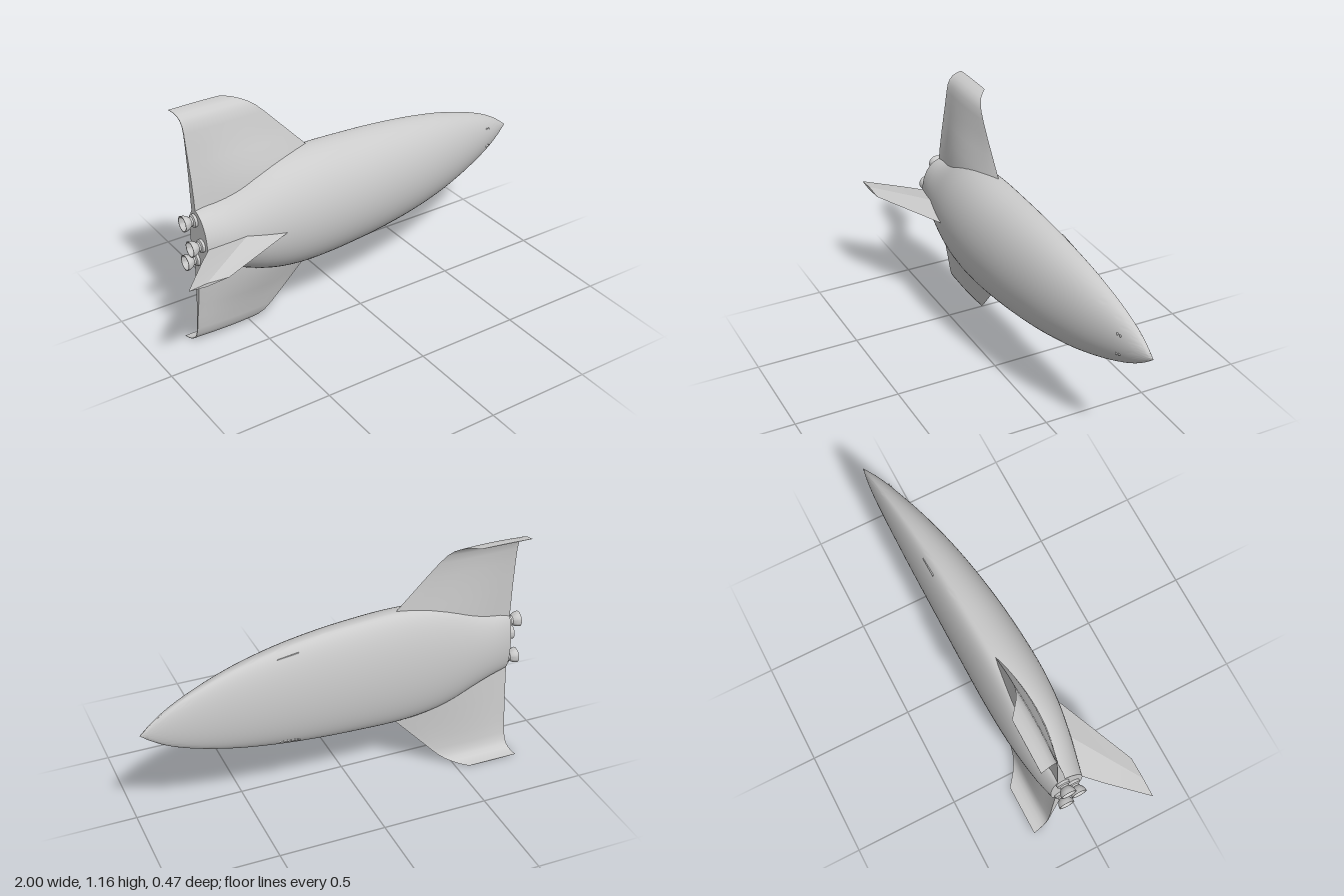
import * as THREE from 'three';
import { toCreasedNormals } from 'three/addons/utils/BufferGeometryUtils.js';

const CY = 0.578; // height of the ship's axis
const grey = new THREE.MeshStandardMaterial({ color: 0xcccccc });
const greyDouble = new THREE.MeshStandardMaterial({ color: 0xcccccc, side: THREE.DoubleSide });

// Closed solid from rings of [x, y, z] points, wound to face outward
function loft(rings, crease) {
  const n = rings[0].length, pos = [], idx = [];
  rings.forEach(r => r.forEach(p => pos.push(...p)));
  for (let i = 0; i < rings.length - 1; i++) {
    for (let j = 0; j < n; j++) {
      const k = (j + 1) % n, a = i * n + j, b = i * n + k;
      idx.push(a, b, a + n, b, b + n, a + n);
    }
  }
  // End caps, fanned from the middle of each end ring
  [rings[0], rings[rings.length - 1]].forEach((r, e) => {
    const c = pos.length / 3, base = e ? (rings.length - 1) * n : 0;
    pos.push(...[0, 1, 2].map(d => r.reduce((s, p) => s + p[d], 0) / n));
    for (let j = 0; j < n; j++) {
      const a = base + j, b = base + (j + 1) % n;
      if (e) idx.push(c, a, b); else idx.push(c, b, a);
    }
  });
  // Flip every face if the enclosed volume comes out negative
  const v = i => new THREE.Vector3().fromArray(pos, i * 3);
  let volume = 0;
  for (let i = 0; i < idx.length; i += 3) volume += v(idx[i]).dot(v(idx[i + 1]).cross(v(idx[i + 2])));
  if (volume < 0) idx.reverse();
  const g = new THREE.BufferGeometry();
  g.setAttribute('position', new THREE.Float32BufferAttribute(pos, 3));
  g.setIndex(idx);
  return toCreasedNormals(g, crease);
}

function add(parent, name, geometry, material = grey) {
  const mesh = new THREE.Mesh(geometry, material);
  mesh.name = name;
  parent.add(mesh);
  return mesh;
}

// Hull stations: x, half width, back z, belly z
const hull = [
  [-0.785, 0.15, 0.0, -0.155], [-0.7, 0.165, 0.02, -0.178], [-0.6, 0.2, 0.042, -0.194],
  [-0.5, 0.242, 0.06, -0.205], [-0.4, 0.27, 0.071, -0.212], [-0.25, 0.287, 0.076, -0.218],
  [0, 0.28, 0.062, -0.221], [0.2, 0.264, 0.037, -0.222], [0.4, 0.236, 0.001, -0.223],
  [0.6, 0.192, -0.05, -0.223], [0.8, 0.124, -0.116, -0.221], [0.9, 0.075, -0.154, -0.217],
  [0.96, 0.034, -0.182, -0.211], [1, 0.001, -0.203, -0.205],
];
const hullSpline = new THREE.CubicInterpolant(hull.map(s => s[0]), hull.flatMap(s => s.slice(1)), 3);

// Point on the hull: ellipse above the widest line, flatter ellipse below
function hullPoint(x, angle) {
  const [w, top, belly] = hullSpline.evaluate(x);
  const mid = belly + 0.3 * (top - belly), s = Math.sin(angle);
  return [x, CY + w * Math.cos(angle), mid + s * (s > 0 ? top - mid : mid - belly)];
}

function hullGeometry() {
  const rings = [];
  for (let i = 0; i <= 60; i++) {
    const x = -0.785 + 1.785 * Math.sin((i / 60) * Math.PI / 2);
    rings.push(Array.from({ length: 56 }, (_, j) => hullPoint(Math.min(x, 1), (j / 56) * Math.PI * 2)));
  }
  return loft(rings, 0.7);
}

// Foil outline: upper side from nose to tail, then lower side back again
function foil(count, thickness, place) {
  const ring = [];
  for (let i = 0; i <= count; i++) ring.push(place(i / count, thickness(i / count)));
  for (let i = count; i >= 1; i--) ring.push(place(i / count, -thickness(i / count)));
  return ring;
}

// Wing stations: distance from axis, z, upper and lower thickness, leading x, trailing x, tilt
const wingStations = [
  [0.1, -0.11, 0.06, 0.045, -0.08, -0.785, 0], [0.2, -0.118, 0.058, 0.036, -0.14, -0.785, 0],
  [0.29, -0.126, 0.046, 0.025, -0.21, -0.785, 0], [0.36, -0.132, 0.03, 0.018, -0.275, -0.786, 0],
  [0.43, -0.138, 0.015, 0.012, -0.34, -0.787, 0], [0.495, -0.146, 0.009, 0.007, -0.4, -0.788, 0.1],
  [0.53, -0.153, 0.007, 0.005, -0.435, -0.79, 0.3], [0.552, -0.165, 0.005, 0.004, -0.465, -0.793, 0.7],
  [0.566, -0.182, 0.004, 0.003, -0.495, -0.797, 1.05], [0.574, -0.205, 0.003, 0.002, -0.525, -0.802, 1.3],
  [0.576, -0.233, 0.002, 0.001, -0.56, -0.808, 1.45],
];
function wingGeometry(side) {
  const shape = u => Math.max(Math.sin(Math.PI * u) ** 0.8, u > 0.9 ? 0.35 : 0);
  return loft(wingStations.map(([s, z, up, low, lead, trail, tilt]) => foil(14, shape, (u, t) => {
    const d = t * (t > 0 ? up : low);
    return [lead + (trail - lead) * u, CY + side * (s + d * Math.sin(tilt)), z + d * Math.cos(tilt)];
  })), 0.6);
}

// Swept fin: z, half thickness, leading x, trailing x
function finGeometry() {
  const stations = [[-0.03, 0.034, -0.2, -0.75], [0.07, 0.028, -0.43, -0.85], [0.232, 0.008, -0.81, -1]];
  const shape = u => (u < 0.55 ? u / 0.55 : (1 - u) / 0.45);
  return loft(stations.map(([z, half, lead, trail]) =>
    foil(20, shape, (u, t) => [lead + (trail - lead) * u, CY + t * half, z])), 0.2);
}

// Engine bell: mounting collar, neck and flared nozzle, open at the back
function engineGeometry() {
  const profile = [[0, -0.02], [0.03, -0.02], [0.03, 0.012], [0.021, 0.016], [0.021, 0.024],
    [0.028, 0.032], [0.034, 0.044], [0.037, 0.06], [0.033, 0.06], [0.026, 0.042], [0.012, 0.026], [0, 0.026]];
  const g = new THREE.LatheGeometry(profile.map(p => new THREE.Vector2(...p)), 24);
  g.rotateZ(Math.PI / 2); // lathe axis toward the tail
  return toCreasedNormals(g, 0.5);
}

export function createModel() {
  const ship = new THREE.Group();
  ship.name = 'spaceplane';
  add(ship, 'hull', hullGeometry());
  add(ship, 'upperWing', wingGeometry(1));
  add(ship, 'lowerWing', wingGeometry(-1));
  add(ship, 'dorsalFin', finGeometry());

  // Three engines in a triangle
  const engine = engineGeometry();
  [[0.098, -0.103], [-0.098, -0.103], [0, -0.047]].forEach(([y, z], i) => {
    add(ship, 'engine' + (i + 1), engine, greyDouble).position.set(-0.785, CY + y, z);
  });

  // Small thruster ports on the nose and slim vents along the lower flanks
  const port = new THREE.CylinderGeometry(0.006, 0.006, 0.006, 12).rotateX(Math.PI / 2);
  const vent = new THREE.BoxGeometry(0.1, 0.006, 0.006);
  for (const side of [1, -1]) {
    for (const x of [0.832, 0.847]) {
      add(ship, 'thrusterPort', port).position.set(...hullPoint(x, Math.PI / 2 - side * 0.45));
    }
    const a = hullPoint(0.25, side > 0 ? -0.5 : Math.PI + 0.5);
    const b = hullPoint(0.4, side > 0 ? -0.5 : Math.PI + 0.5);
    const strip = add(ship, 'flankVent', vent);
    strip.position.set((a[0] + b[0]) / 2, (a[1] + b[1]) / 2, (a[2] + b[2]) / 2);
    strip.rotation.z = Math.atan2(b[1] - a[1], b[0] - a[0]);
  }
  return ship;
}
